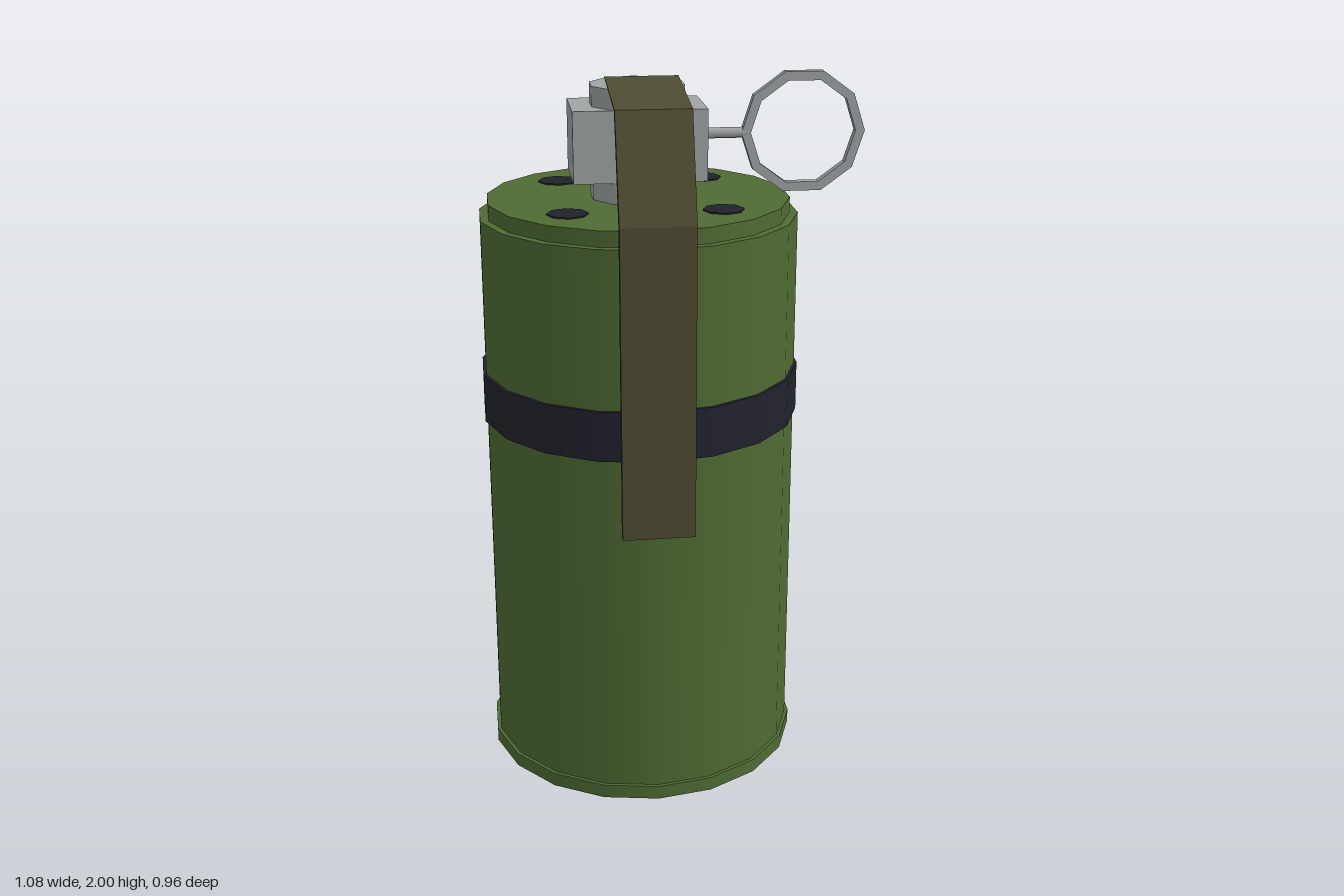
import * as THREE from 'three';

const CX = -0.095, CZ = -0.028; // axis of the canister

export function createModel() {
  const group = new THREE.Group();
  const material = (name, color) => {
    const m = new THREE.MeshStandardMaterial({ color });
    m.name = name;
    return m;
  };
  const green = material('body green', 0x4f6b33);
  const black = material('band black', 0x22222e);
  const steel = material('steel grey', 0xa0a4a5);
  const olive = material('lever olive', 0x4f4c33);

  const add = (name, geometry, mat, x, y, z) => {
    const mesh = new THREE.Mesh(geometry, mat);
    mesh.name = name;
    mesh.position.set(x, y, z);
    group.add(mesh);
    return mesh;
  };
  // Upright cylinder between two heights
  const drum = (name, mat, r, y0, y1, sides, x = CX, z = CZ) =>
    add(name, new THREE.CylinderGeometry(r, r, y1 - y0, sides), mat, x, (y0 + y1) / 2, z);

  // Canister
  drum('baseRim', green, 0.453, 0, 0.04, 18);
  drum('body', green, 0.443, 0.03, 1.61, 18);
  drum('lid', green, 0.42, 1.6, 1.653, 18);
  drum('band', black, 0.451, 1.035, 1.175, 18);

  // Vent holes in the lid
  for (const sx of [-1, 1]) for (const sz of [-1, 1])
    drum('vent', black, 0.056, 1.65, 1.657, 8, CX + sx * 0.208, CZ + sz * 0.207);

  // Fuse column and block
  drum('fuseColumn', steel, 0.133, 1.65, 1.96, 10, CX, -0.03);
  add('fuseBlock', new THREE.BoxGeometry(0.364, 0.195, 0.222), steel, -0.097, 1.808, -0.03);

  // Pin and pull ring
  const pin = add('pin', new THREE.CylinderGeometry(0.015, 0.015, 0.135, 8), steel, 0.145, 1.82, -0.031);
  pin.rotation.z = Math.PI / 2;
  const decagon = r => Array.from({ length: 10 }, (_, i) =>
    new THREE.Vector2(r * Math.cos(i * Math.PI / 5), r * Math.sin(i * Math.PI / 5)));
  const ringShape = new THREE.Shape(decagon(0.173));
  ringShape.holes.push(new THREE.Path(decagon(0.147)));
  add('pullRing', new THREE.ExtrudeGeometry(ringShape, { depth: 0.027, bevelEnabled: false }),
    steel, 0.365, 1.82, -0.0445);

  // Safety lever: side profile (z, y) extruded across x
  const profile = [
    [0.11, 2.0], [0.11, 1.997], [0.372, 1.957], [0.457, 1.68], [0.452, 0.84],
    [0.478, 0.84], [0.482, 1.685], [0.39, 1.96],
  ].map(([z, y]) => new THREE.Vector2(-z, y));
  const lever = new THREE.ExtrudeGeometry(new THREE.Shape(profile), { depth: 0.195, bevelEnabled: false });
  lever.rotateY(Math.PI / 2); // shape x becomes -z, depth becomes +x
  add('safetyLever', lever, olive, -0.195, 0, 0);

  return group;
}
